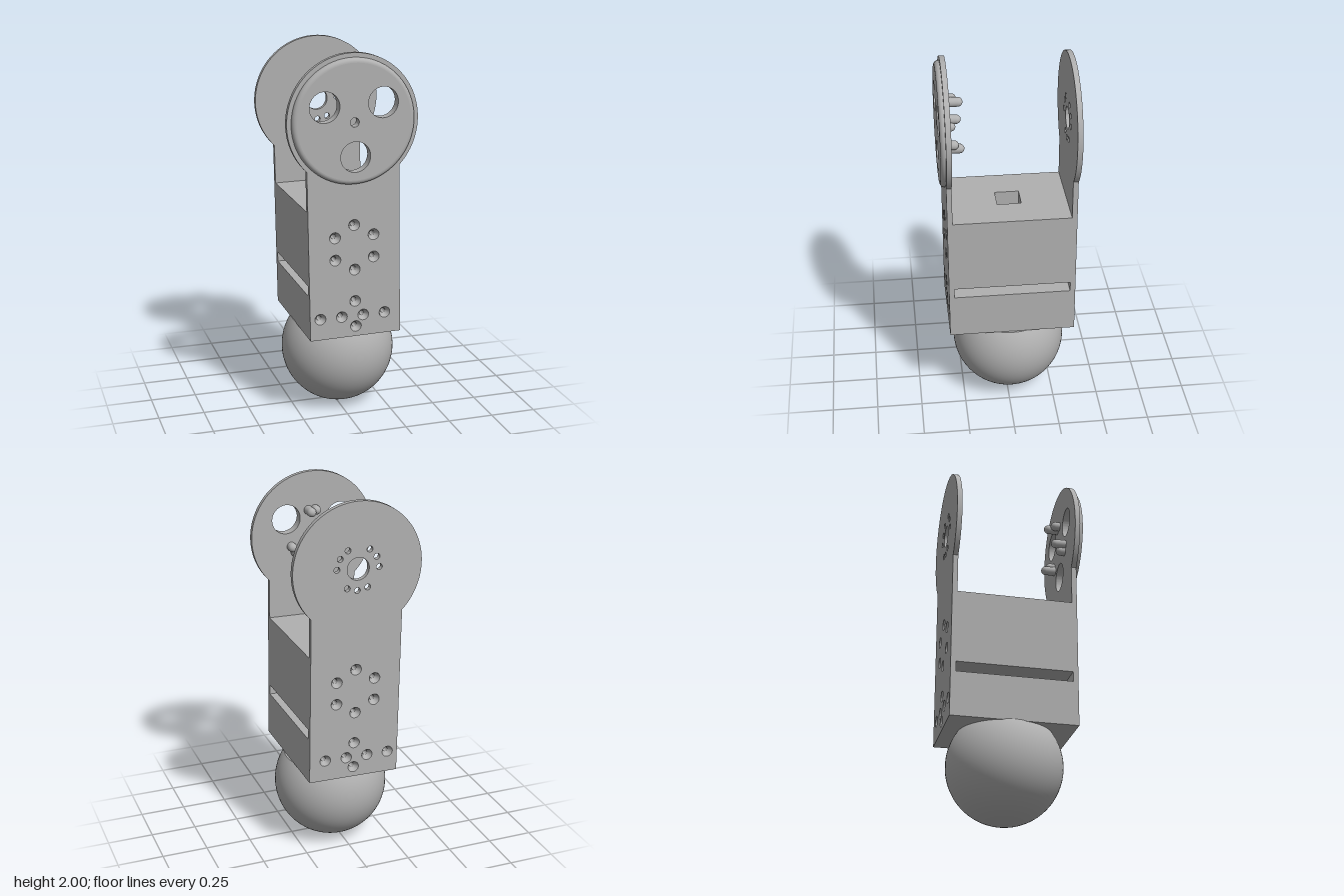
import * as THREE from 'three';
import { toCreasedNormals } from 'three/addons/utils/BufferGeometryUtils.js';

const PIVOT_Y = 1.65, TILT = 0.0165;      // disc centre and slight lean of the arm
const R = 0.35, HALF_W = 0.25;            // disc radius, half width of the arm
const BOTTOM = -1.165, TOP = -0.46, SLOT_LOW = -0.92, SLOT_HIGH = -0.865;
const FRONT = 0.3, BACK = -0.327, THICK = 0.028;
const SHAFT = { left: -0.061, right: 0.068, back: -0.08, front: 0.05 };
const TRIAD = [31, 151, 271];             // angles of the repeated features

const polar = (r, deg, x = 0, y = 0) => {
  const a = THREE.MathUtils.degToRad(deg);
  return [x + r * Math.cos(a), y + r * Math.sin(a)];
};

// Screw positions: a ring of six, a row of four and one above and below the row
const SCREWS = [];
for (let i = 0; i < 6; i++) SCREWS.push(polar(0.122, 90 + i * 60, -0.001, -0.67));
for (const x of [-0.194, -0.0755, 0.0435, 0.163]) SCREWS.push([x, -1.049]);
SCREWS.push([0, -0.967], [0.002, -1.109]);

function addHole(shape, [x, y], r) {
  const hole = new THREE.Path();
  hole.absarc(x, y, r, 0, Math.PI * 2, true);
  shape.holes.push(hole);
}

function extrude(shape, z, depth) {
  const g = new THREE.ExtrudeGeometry(shape, { depth, bevelEnabled: false, curveSegments: 40 });
  g.translate(0, 0, z);
  return toCreasedNormals(g, 0.5);
}

// Keyhole outline: straight arm with a round head
function armShape() {
  const a = Math.acos(HALF_W / R);
  const s = new THREE.Shape();
  s.moveTo(-HALF_W, BOTTOM);
  s.lineTo(HALF_W, BOTTOM);
  s.lineTo(HALF_W, -R * Math.sin(a));
  s.absarc(0, 0, R, -a, Math.PI + a, false);
  s.lineTo(-HALF_W, BOTTOM);
  for (const p of SCREWS) addHole(s, p, 0.03);
  return s;
}

function addCapHoles(shape) {
  addHole(shape, [0, 0], 0.024);
  for (const deg of TRIAD) addHole(shape, polar(0.18, deg), 0.08);
}

export function createModel() {
  const grey = new THREE.MeshStandardMaterial({ color: 0xb0b0b0 });
  grey.name = 'grey';

  const model = new THREE.Group();
  const arm = new THREE.Group();
  arm.name = 'arm';
  arm.position.y = PIVOT_Y;
  arm.rotation.z = TILT;
  model.add(arm);

  const add = (parent, name, geometry) => {
    const m = new THREE.Mesh(geometry, grey);
    m.name = name;
    parent.add(m);
    return m;
  };

  // Front and back plates
  const front = armShape();
  addCapHoles(front);
  add(arm, 'frontPlate', extrude(front, FRONT, THICK));

  const back = armShape();
  addHole(back, [0, 0], 0.06);
  for (const deg of TRIAD)
    for (const step of [-29, 0, 29]) addHole(back, polar(0.115, deg + step), 0.016);
  add(arm, 'backPlate', extrude(back, BACK - THICK, THICK));

  // Countersinks in both plates
  const cone = [new THREE.Vector2(0.03, THICK), new THREE.Vector2(0.013, 0)];
  for (const [x, y] of SCREWS) {
    for (const side of [1, -1]) {
      const g = new THREE.LatheGeometry(cone, 24);
      g.rotateX(side * Math.PI / 2);
      g.translate(x, y, side > 0 ? FRONT : BACK);
      add(arm, 'countersink', g);
    }
  }

  // Upper and lower blocks with drilled screw holes, split around the square shaft
  const slab = (name, x0, x1, y0, y1, z0, z1) => {
    const s = new THREE.Shape([[x0, y0], [x1, y0], [x1, y1], [x0, y1]].map(p => new THREE.Vector2(...p)));
    for (const [x, y] of SCREWS)
      if (x > x0 + 0.013 && x < x1 - 0.013 && y > y0 && y < y1) addHole(s, [x, y], 0.013);
    add(arm, name, extrude(s, z0, z1 - z0));
  };
  for (const [name, y0, y1] of [['lowerBlock', BOTTOM, SLOT_LOW], ['upperBlock', SLOT_HIGH, TOP]]) {
    slab(name + 'Front', -HALF_W, HALF_W, y0, y1, SHAFT.front, FRONT);
    slab(name + 'Back', -HALF_W, HALF_W, y0, y1, BACK, SHAFT.back);
    slab(name + 'Right', -HALF_W, SHAFT.left, y0, y1, SHAFT.back, SHAFT.front);
    slab(name + 'Left', SHAFT.right, HALF_W, y0, y1, SHAFT.back, SHAFT.front);
  }

  // Round cap on the front plate: drilled disc plus rounded rim
  const capZ = FRONT + THICK, capR = 0.327, round = 0.024;
  const disc = new THREE.Shape();
  disc.absarc(0, 0, capR - round, 0, Math.PI * 2, false);
  addCapHoles(disc);
  add(arm, 'capDisc', extrude(disc, capZ, 0.027));
  const rim = [new THREE.Vector2(capR, 0)];
  for (let i = 0; i <= 8; i++) {
    const a = i / 8 * Math.PI / 2;
    rim.push(new THREE.Vector2(capR - round + round * Math.cos(a), 0.003 + round * Math.sin(a)));
  }
  const rimGeo = new THREE.LatheGeometry(rim, 80);
  rimGeo.rotateX(Math.PI / 2);
  rimGeo.translate(0, 0, capZ);
  add(arm, 'capRim', rimGeo);

  // Round-tipped pins behind the front plate, one long and one short per group
  for (const turn of [0, 120, 240]) {
    for (const [name, deg, length] of [['longPin', 78, 0.08], ['shortPin', 94, 0.05]]) {
      const r = 0.025;
      const profile = [new THREE.Vector2(r, 0)];
      for (let i = 0; i <= 8; i++) {
        const a = i / 8 * Math.PI / 2;
        profile.push(new THREE.Vector2(r * Math.cos(a), length - r + r * Math.sin(a)));
      }
      const g = new THREE.LatheGeometry(profile, 24);
      g.rotateX(-Math.PI / 2);
      const [x, y] = polar(0.139, deg + turn);
      g.translate(x, y, FRONT);
      add(arm, name, g);
    }
  }

  // Ball foot, cut flat where it meets the block
  const ballR = 0.311, cut = 0.97;
  const foot = new THREE.Group();
  foot.name = 'foot';
  foot.position.set(0.022, ballR, -0.015);
  model.add(foot);
  add(foot, 'ball', new THREE.SphereGeometry(ballR, 64, 40, 0, Math.PI * 2, cut, Math.PI - cut));
  const lid = add(foot, 'ballTop', new THREE.CircleGeometry(ballR * Math.sin(cut), 64));
  lid.rotation.x = -Math.PI / 2;
  lid.position.y = ballR * Math.cos(cut);

  return model;
}
